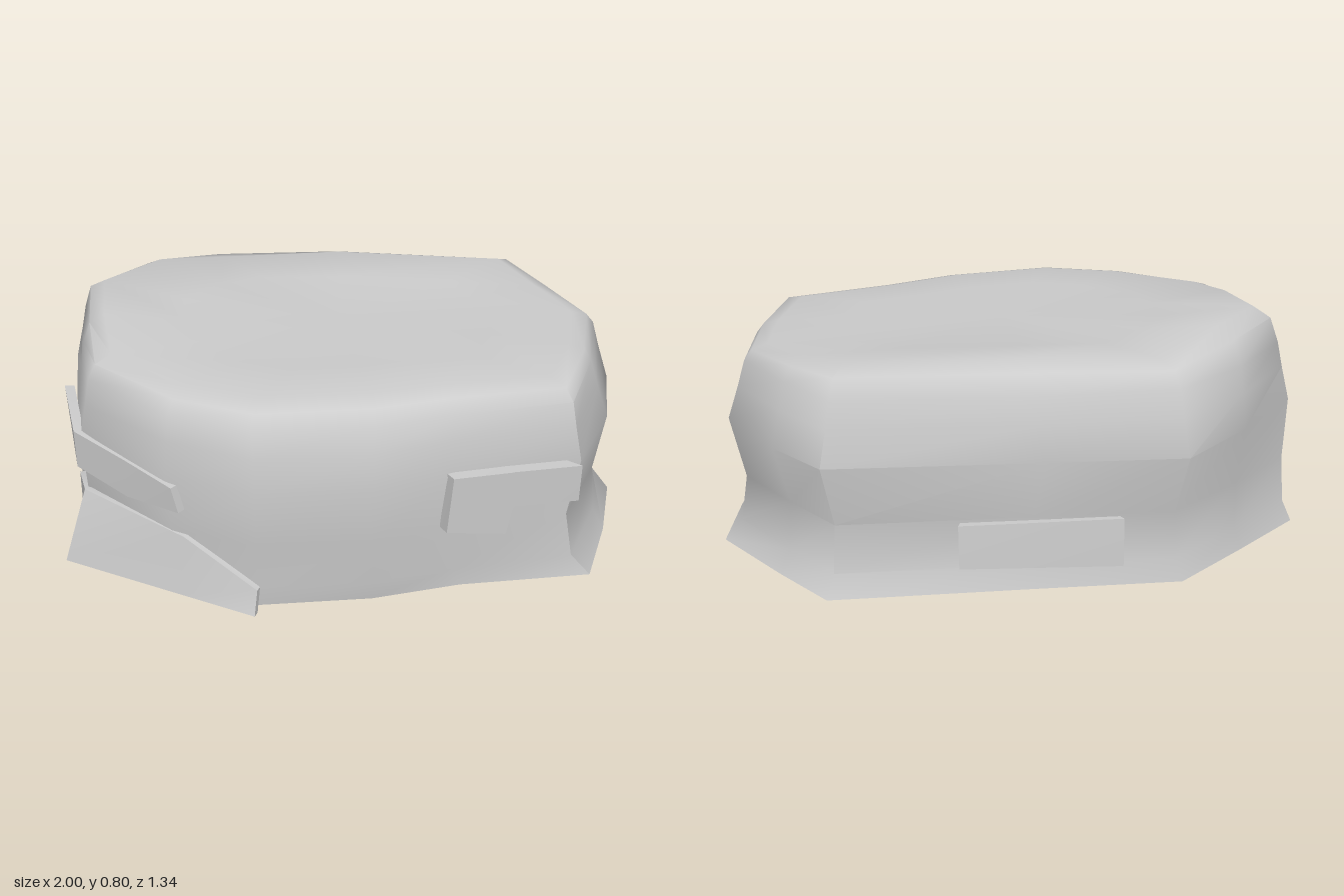
import * as THREE from 'three';
import { toCreasedNormals } from 'three/addons/utils/BufferGeometryUtils.js';

const material = new THREE.MeshStandardMaterial({ color: 0xcccccc, side: THREE.DoubleSide });

// Columns round the boulder, from its left end by the front:
// x,z at base, waist, belly and shoulder, then the height of the crown.
const columns = [
  [1.0, -0.06, 0.91, -0.08, 0.955, -0.08, 0.89, -0.1, 0.73],
  [0.94, 0.2, 0.88, 0.18, 0.91, 0.19, 0.84, 0.17, 0.73],
  [0.85, 0.46, 0.75, 0.45, 0.78, 0.46, 0.74, 0.44, 0.735],
  [0.4, 0.51, 0.36, 0.53, 0.36, 0.55, 0.36, 0.51, 0.74],
  [0.1, 0.58, 0.1, 0.6, 0.1, 0.63, 0.1, 0.58, 0.745],
  [-0.28, 0.61, -0.28, 0.62, -0.28, 0.65, -0.28, 0.61, 0.745],
  [-0.57, 0.5, -0.56, 0.52, -0.57, 0.53, -0.55, 0.51, 0.745],
  [-0.85, 0.32, -0.86, 0.31, -0.87, 0.31, -0.83, 0.28, 0.75],
  [-0.92, 0.04, -0.92, 0.04, -0.92, 0.03, -0.88, 0.02, 0.785],
  [-1.0, -0.28, -0.95, -0.27, -0.96, -0.26, -0.91, -0.25, 0.8],
  [-0.75, -0.455, -0.72, -0.44, -0.73, -0.48, -0.71, -0.45, 0.8],
  [-0.49, -0.63, -0.46, -0.6, -0.48, -0.67, -0.46, -0.6, 0.75],
  [0.0, -0.59, 0.0, -0.56, -0.02, -0.62, 0.0, -0.58, 0.775],
  [0.68, -0.54, 0.64, -0.5, 0.68, -0.54, 0.64, -0.5, 0.775],
  [0.82, -0.34, 0.77, -0.31, 0.82, -0.35, 0.77, -0.31, 0.745],
];

// One column as a chain of points from the ground to the flat top.
function columnPoints([bx, bz, wx, wz, mx, mz, sx, sz, top]) {
  const mix = (a, b, t) => a + (b - a) * t;
  return [
    [bx, 0, bz],
    [mix(wx, bx, 0.3), 0.08, mix(wz, bz, 0.3)],
    [wx, 0.25, wz],
    [mx, 0.47, mz],
    [mix(mx, sx, 0.6), 0.59, mix(mz, sz, 0.6)],
    [sx, 0.68, sz],
    [sx * 0.97, mix(0.68, top, 0.7), sz * 0.94],
    [sx * 0.91, top, sz * 0.83],
    [sx * 0.6, mix(top, 0.745, 0.7), sz * 0.55],
  ];
}

function meshFrom(name, positions, index, crease) {
  const g = new THREE.BufferGeometry();
  g.setAttribute('position', new THREE.Float32BufferAttribute(positions.flat(), 3));
  g.setIndex(index);
  const mesh = new THREE.Mesh(toCreasedNormals(g, crease), material);
  mesh.name = name;
  return mesh;
}

// Hollow shell, open underneath.
function boulder() {
  const pts = columns.flatMap(columnPoints);
  const n = columns.length, rows = pts.length / n, index = [];
  pts.push([0, 0.745, 0]);
  for (let c = 0; c < n; c++) {
    const a0 = c * rows, b0 = ((c + 1) % n) * rows;
    for (let r = 0; r < rows - 1; r++) {
      const a = a0 + r, b = b0 + r;
      index.push(a, a + 1, b, b, a + 1, b + 1);
    }
    index.push(a0 + rows - 1, n * rows, b0 + rows - 1);
  }
  return meshFrom('boulder', pts, index, 0.9);
}

// Slab of rock following pairs of [top, bottom] points, thickened inwards.
function slab(name, pairs, inset) {
  const pts = [], index = [];
  for (const [t, b] of pairs) {
    const inner = ([x, y, z]) => [x * (1 - inset), y, z * (1 - inset)];
    pts.push(t, b, inner(b), inner(t));
  }
  for (let i = 0; i < pairs.length - 1; i++) {
    for (let k = 0; k < 4; k++) {
      const a = i * 4 + k, b = i * 4 + (k + 1) % 4;
      index.push(a, b, a + 4, a + 4, b, b + 4);
    }
  }
  const e = pts.length - 4;
  index.push(0, 3, 2, 0, 2, 1, e, e + 1, e + 2, e, e + 2, e + 3);
  return meshFrom(name, pts, index, 0.7);
}

export function createModel() {
  const group = new THREE.Group();
  group.name = 'rock';
  group.add(boulder());

  // Ledge wrapping the right front corner
  group.add(slab('sideLedge', [
    [[-0.96, 0.51, 0.03], [-0.95, 0.38, 0.05]],
    [[-0.89, 0.5, 0.31], [-0.89, 0.36, 0.31]],
    [[-0.71, 0.47, 0.44], [-0.71, 0.325, 0.44]],
    [[-0.55, 0.44, 0.56], [-0.53, 0.35, 0.57]],
  ], 0.035));

  // Flared skirt at the foot of the same corner
  group.add(slab('footSkirt', [
    [[-0.91, 0.25, 0.18], [-0.91, 0.01, 0.2]],
    [[-0.87, 0.28, 0.33], [-0.95, 0.02, 0.385]],
    [[-0.52, 0.24, 0.55], [-0.54, 0.01, 0.565]],
    [[-0.28, 0.085, 0.64], [-0.29, 0, 0.67]],
  ], 0.03));

  // Stepped plate on the front
  group.add(slab('frontPlate', [
    [[0.355, 0.485, 0.585], [0.34, 0.27, 0.58]],
    [[0.54, 0.495, 0.565], [0.535, 0.25, 0.56]],
    [[0.55, 0.495, 0.562], [0.555, 0.36, 0.56]],
    [[0.77, 0.5, 0.535], [0.77, 0.36, 0.53]],
  ], 0.06));

  // Low plate on the back
  group.add(slab('backPlate', [
    [[0.25, 0.24, -0.56], [0.25, 0.09, -0.575]],
    [[-0.29, 0.24, -0.605], [-0.29, 0.07, -0.615]],
  ], 0.06));

  return group;
}
